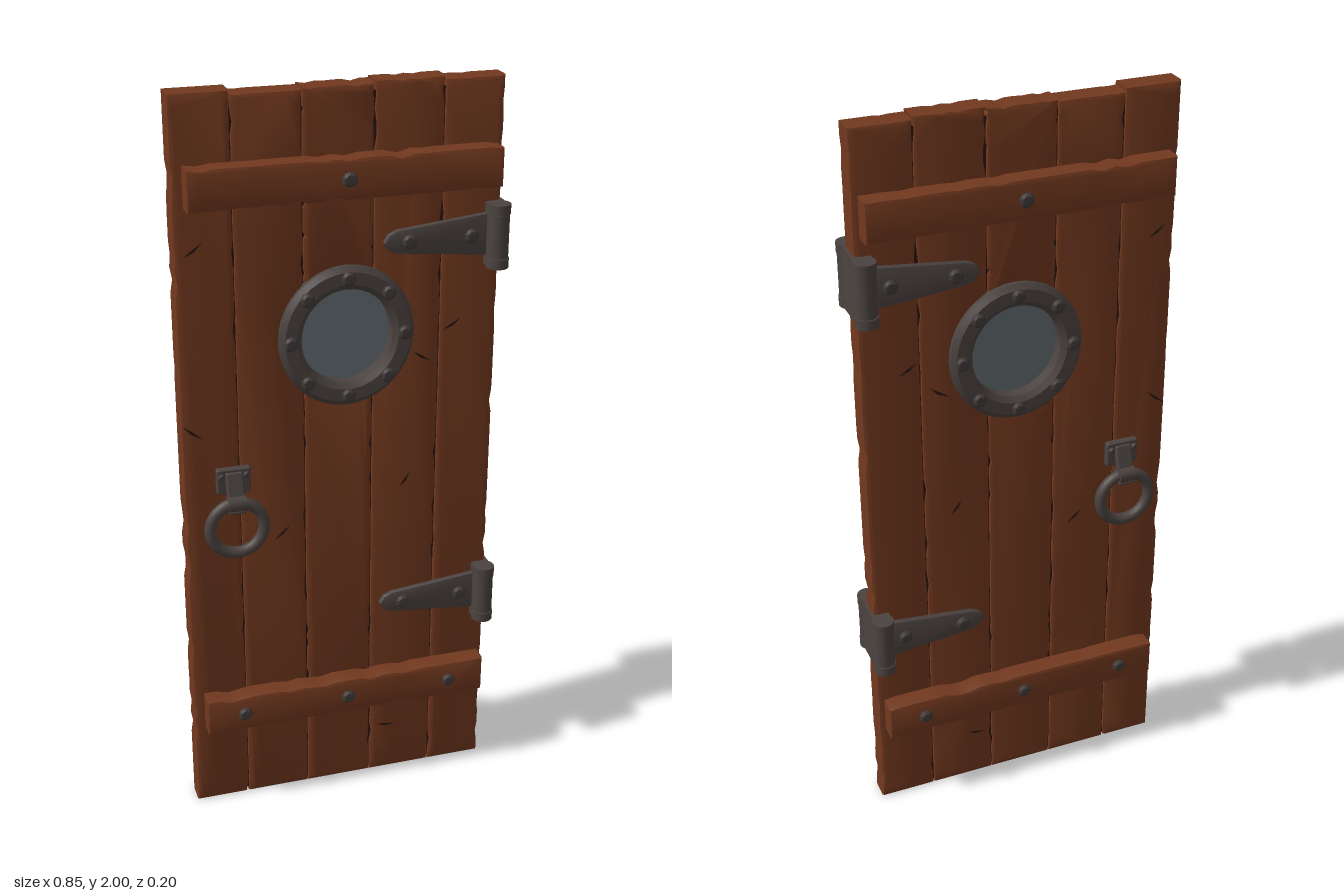
import * as THREE from 'three';
import { toCreasedNormals } from 'three/addons/utils/BufferGeometryUtils.js';
import { RoundedBoxGeometry } from 'three/addons/geometries/RoundedBoxGeometry.js';

const mat = (name, color) => new THREE.MeshStandardMaterial({ name, color });

export function createModel() {
  const wood = mat('wood', 0x73391f);
  const gap = mat('dark wood', 0x2c1710);
  const iron = mat('iron', 0x4b4340);
  const boltIron = mat('bolt iron', 0x403a39);
  const glass = mat('glass', 0x626b70);
  const door = new THREE.Group();
  door.name = 'door';

  let seed = 7;
  const rand = () => (seed = (seed * 16807) % 2147483647) / 2147483647;
  const chip = (size) => (rand() < 0.2 ? size * rand() : 0);

  const add = (parent, name, geometry, material, x = 0, y = 0, z = 0) => {
    const mesh = new THREE.Mesh(geometry, material);
    mesh.name = name;
    mesh.position.set(x, y, z);
    parent.add(mesh);
    return mesh;
  };
  const group = (name, x, y) => {
    const g = new THREE.Group();
    g.name = name;
    g.position.set(x, y, 0);
    door.add(g);
    return g;
  };
  // Bevelled slab between z0 and z1; the outline is the full outer size
  const slab = (points, z0, z1, bevel) => {
    const shape = new THREE.Shape(points.map(([x, y]) => new THREE.Vector2(x, y)));
    const g = new THREE.ExtrudeGeometry(shape, {
      depth: z1 - z0 - 2 * bevel, bevelSize: bevel, bevelThickness: bevel,
      bevelOffset: -bevel, bevelSegments: 2, curveSegments: 8,
    });
    g.translate(0, 0, z0 + bevel);
    return toCreasedNormals(g, 0.7);
  };
  const bolt = (parent, x, y, z, r = 0.019) => {
    const g = new THREE.LatheGeometry([[r, -0.006], [r, 0.005], [r * 0.7, 0.011], [0, 0.012]]
      .map(([a, b]) => new THREE.Vector2(a, b)), 10);
    g.rotateX(Math.PI / 2);
    add(parent, 'bolt', toCreasedNormals(g, 0.6), boltIron, x, y, z);
  };

  // Planks, cut away around the round window
  const cx = 0.005, cy = 1.362, R = 0.15;
  const arc = (d) => Math.sqrt(Math.max(0, R * R - d * d));
  const plank = (left, right, bottom, top) => {
    const pts = [], n = 60, m = 8;
    const yb = bottom(left), yt = top(left), yb2 = bottom(right), yt2 = top(right);
    for (let i = 0; i < m; i++) {
      const x = left + (right - left) * i / m;
      pts.push([x, bottom(x)]);
    }
    for (let i = 0; i <= n; i++) {
      const y = yb2 + (yt2 - yb2) * i / n, a = arc(y - cy);
      const cut = a > 0 && right < cx - 0.1 + 0.001 ? Math.min(right, cx - a) : right;
      pts.push([cut - chip(0.006), y]);
    }
    for (let i = 1; i < m; i++) {
      const x = right + (left - right) * i / m;
      pts.push([x, top(x) - chip(0.006)]);
    }
    for (let i = n; i > 0; i--) {
      const y = yb + (yt - yb) * i / n, a = arc(y - cy);
      const cut = a > 0 && left > cx + 0.05 ? Math.max(left, cx + a) : left;
      pts.push([cut + chip(0.006), y]);
    }
    add(door, 'plank', slab(pts, -0.034, 0.034, 0.009), wood);
  };
  const seams = [-0.428, -0.28, -0.105, 0.077, 0.257, 0.412];
  const tops = [2, 1.99, 1.995, 2, 1.993];
  for (let i = 0; i < 5; i++) {
    const l = seams[i], r = seams[i + 1], flat = (y) => () => y;
    if (i === 2) {
      plank(l, r, flat(0), (x) => cy - arc(x - cx));
      plank(l, r, (x) => cy + arc(x - cx), flat(tops[i]));
    } else plank(l, r, flat(0), flat(tops[i]));
  }

  // Dark filler inside the seams
  for (const x of seams.slice(1, 5)) {
    const hit = arc(x - cx);
    const spans = hit > 0 ? [[0.012, cy - hit], [cy + hit, 1.975]] : [[0.012, 1.975]];
    for (const [a, b] of spans)
      add(door, 'seam', new THREE.BoxGeometry(0.014, b - a, 0.054), gap, x, (a + b) / 2);
  }

  // Small cracks on both faces
  const cracks = [[-0.4, 1.14, -0.7, 0.07], [-0.38, 1.62, 0.6, 0.06], [0.125, 0.15, -0.2, 0.06],
    [0.21, 1.28, -0.6, 0.06], [-0.17, 0.82, 0.7, 0.06], [0.29, 1.36, 0.5, 0.06], [0.17, 0.93, 0.9, 0.05]];
  for (const [x, y, angle, len] of cracks) {
    const s = new THREE.Shape([[-len / 2, 0], [0, -0.005], [len / 2, 0.002], [0, 0.003]]
      .map((p) => new THREE.Vector2(...p)));
    for (const side of [1, -1]) {
      const c = add(door, 'crack', new THREE.ShapeGeometry(s), gap, x, y, side * 0.0348);
      c.rotation.set(0, side > 0 ? 0 : Math.PI, angle);
    }
  }

  // Cross battens with worn edges, front and back
  for (const [y, bolts] of [[1.78, [0]], [0.305, [-0.295, 0, 0.295]]])
    for (const turn of [0, Math.PI]) {
      const b = group('batten', -0.002, y), pts = [], n = 24, w = 0.398, h = 0.052;
      for (let i = 0; i <= n; i++) pts.push([-w + 2 * w * i / n, -h + chip(0.01)]);
      for (let i = 0; i <= n; i++) pts.push([w - 2 * w * i / n, h - chip(0.01)]);
      add(b, 'batten board', slab(pts, 0.03, 0.088, 0.008), wood);
      for (const x of bolts) bolt(b, x, 0, 0.088);
      b.rotation.y = turn;
    }

  // Round window: one pane and a bolted ring on each face
  const pane = new THREE.CylinderGeometry(0.125, 0.125, 0.03, 40);
  pane.rotateX(Math.PI / 2);
  add(door, 'window pane', pane, glass, cx, cy).scale.y = 1.05;
  for (const turn of [0, Math.PI]) {
    const w = group('window frame', cx, cy);
    const ring = new THREE.LatheGeometry([[0.178, 0.028], [0.178, 0.046], [0.165, 0.058],
      [0.134, 0.058], [0.12, 0.047], [0.12, 0]].map((p) => new THREE.Vector2(...p)), 40);
    ring.rotateX(Math.PI / 2);
    add(w, 'window ring', toCreasedNormals(ring, 0.5), iron);
    for (let i = 0; i < 8; i++) {
      const a = i * Math.PI / 4;
      bolt(w, 0.15 * Math.cos(a), 0.15 * Math.sin(a), 0.058, 0.018);
    }
    w.scale.y = 1.05;
    w.rotation.y = turn;
  }

  // Strap hinges with knuckles on both faces, joined by an edge plate
  for (const y of [1.598, 0.563]) {
    add(door, 'hinge edge plate', new THREE.BoxGeometry(0.016, 0.165, 0.13), iron, 0.41, y);
    for (const turn of [0, Math.PI]) {
      const h = group('hinge', 0, y);
      add(h, 'hinge strap', slab([[0.1, 0], [0.112, -0.02], [0.135, -0.03], [0.385, -0.056],
        [0.385, 0.056], [0.135, 0.03], [0.112, 0.02]], 0.03, 0.05, 0.005), iron);
      add(h, 'hinge leaf', new THREE.BoxGeometry(0.04, 0.164, 0.035), iron, 0.39, 0, 0.05);
      for (const [o, len, r] of [[0, 0.112, 0.027], [0.07, 0.026, 0.029], [-0.07, 0.026, 0.029]])
        add(h, 'hinge knuckle', new THREE.CylinderGeometry(r, r, len, 20), iron, 0.396, o, 0.065);
      bolt(h, 0.165, 0, 0.05);
      bolt(h, 0.33, 0, 0.05);
      h.rotation.x = turn;
    }
  }

  // Ring handles, front and back
  for (const turn of [0, Math.PI]) {
    const h = group('handle', -0.3, 0.875);
    add(h, 'handle plate', new RoundedBoxGeometry(0.09, 0.07, 0.022, 2, 0.005), iron, 0, 0.124, 0.041);
    const strip = add(h, 'handle bracket', new RoundedBoxGeometry(0.046, 0.11, 0.018, 2, 0.005), iron, 0, 0.097, 0.066);
    strip.rotation.x = -0.3;
    const eye = new THREE.CylinderGeometry(0.022, 0.022, 0.046, 16);
    eye.rotateZ(Math.PI / 2);
    add(h, 'handle eye', eye, iron, 0, 0.071, 0.073);
    add(h, 'handle ring', new THREE.TorusGeometry(0.072, 0.0155, 12, 32), iron, 0, 0, 0.073);
    for (const x of [-0.033, 0.033]) bolt(h, x, 0.14, 0.05, 0.009);
    h.rotation.y = turn;
  }

  return door;
}
